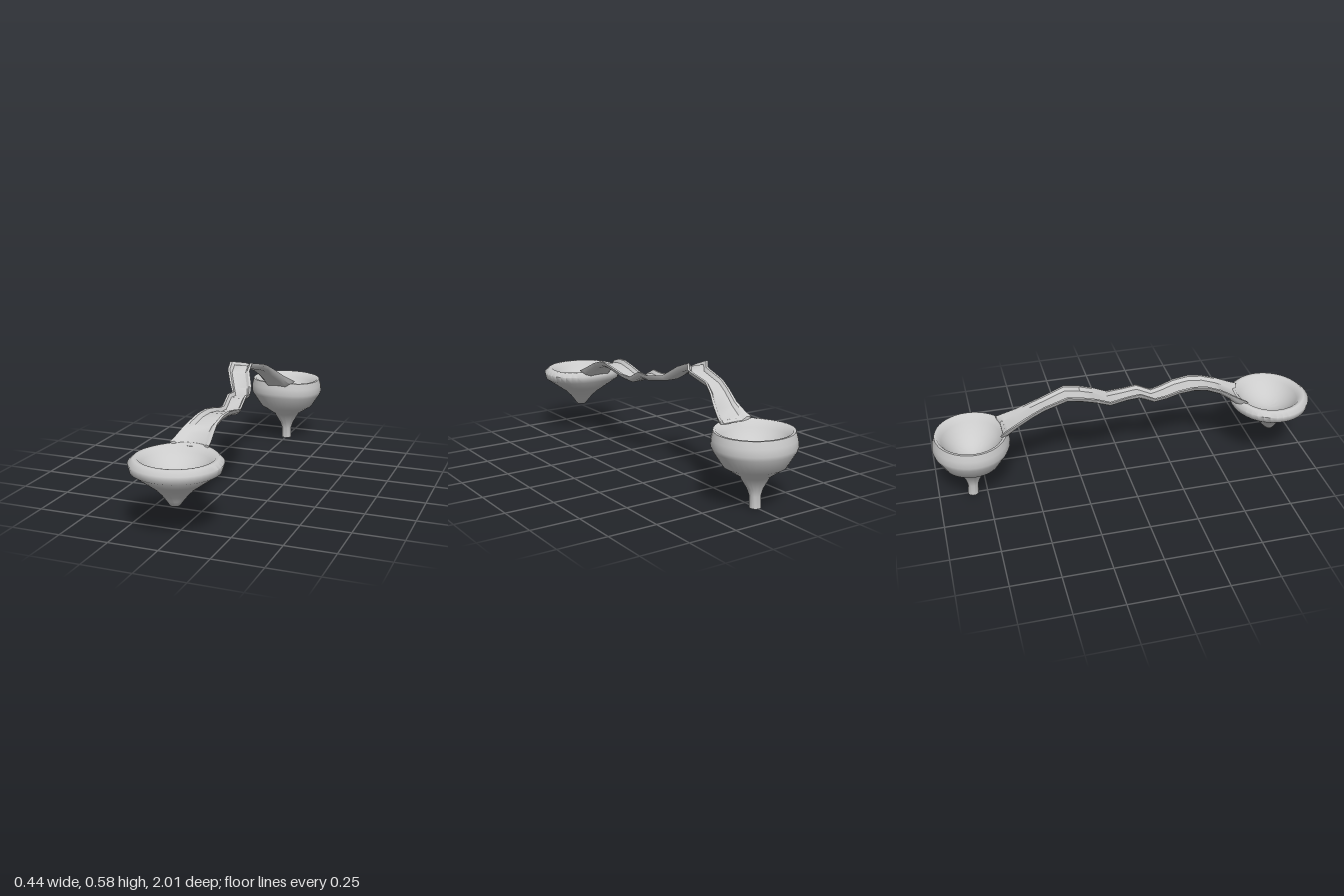
import * as THREE from 'three';
import { toCreasedNormals } from 'three/addons/utils/BufferGeometryUtils.js';

const material = new THREE.MeshStandardMaterial({ color: 0xcccccc, side: THREE.DoubleSide });
const TOP = 0.37;

// Funnel bowl turned from a profile; slightly oval, the stem leaning away from
// the channel and the rim rising a little where the channel joins
function makeBowl(name, profile, z, depthScale, lean) {
  const geo = new THREE.LatheGeometry(profile.map(([r, y]) => new THREE.Vector2(r, y)), 40);
  const pos = geo.attributes.position;
  const base = profile[0][1];
  const toChannel = -Math.sign(z);
  for (let i = 0; i < pos.count; i++) {
    const x = pos.getX(i), y = pos.getY(i), zi = pos.getZ(i);
    const r = Math.hypot(x, zi), t = (TOP - y) / (TOP - base);
    const facing = r > 0.17 ? Math.max(0, (toChannel * zi) / r) : 0;
    pos.setY(i, y + 0.012 * facing ** 4 * (1 - t));
    pos.setZ(i, zi * (1 - (1 - depthScale) * (1 - t)) + lean * t);
  }
  const mesh = new THREE.Mesh(toCreasedNormals(geo, 1.1), material);
  mesh.name = name;
  mesh.position.z = z;
  return mesh;
}

// Hollow of a bowl, from the rim down to its centre
function hollow(radius, depth) {
  const points = [];
  for (let i = 0; i <= 8; i++) {
    const k = 1 - i / 8;
    points.push([radius * k, TOP - depth * (1 - k * k)]);
  }
  return points;
}

// Winding open channel: a U-shaped section swept through stations
function makeChannel() {
  // z, left edge x, right edge x, lip height, total depth, bend of the section round a rim
  const stations = [
    [0.612, -0.10, 0.10, 0.388, 0.022, 0.028],
    [0.59, -0.09, 0.097, 0.402, 0.05, 0.015],
    [0.55, -0.077, 0.09, 0.43, 0.04, 0],
    [0.50, -0.06, 0.085, 0.455, 0.035, 0],
    [0.43, -0.045, 0.09, 0.476, 0.033, 0],
    [0.36, -0.035, 0.098, 0.48, 0.033, 0],
    [0.28, -0.03, 0.10, 0.467, 0.03, 0],
    [0.21, -0.03, 0.09, 0.448, 0.03, 0],
    [0.15, -0.03, 0.075, 0.441, 0.03, 0],
    [0.07, -0.033, 0.072, 0.483, 0.033, 0],
    [0.00, -0.035, 0.067, 0.477, 0.03, 0],
    [-0.10, -0.085, 0.035, 0.492, 0.03, 0],
    [-0.18, -0.13, -0.005, 0.55, 0.033, 0],
    [-0.25, -0.143, -0.015, 0.577, 0.033, 0],
    [-0.32, -0.095, 0.03, 0.56, 0.033, 0],
    [-0.44, -0.095, 0.012, 0.522, 0.033, 0],
    [-0.50, -0.09, 0.03, 0.488, 0.033, 0],
    [-0.57, -0.082, 0.06, 0.44, 0.035, 0],
    [-0.62, -0.085, 0.085, 0.405, 0.045, -0.015],
    [-0.64, -0.092, 0.095, 0.388, 0.022, -0.028],
  ];
  const positions = [], index = [];
  for (const [z, x0, x1, y, depth, bend] of stations) {
    const mid = (x0 + x1) / 2, half = (x1 - x0) / 2;
    const section = [
      [-0.6, -depth], [0.6, -depth], [0.9, -depth * 0.6], [1, 0],
      [0.8, 0], [0.6, -0.017], [-0.6, -0.017], [-0.8, 0], [-1, 0], [-0.9, -depth * 0.6],
    ];
    for (const [u, dy] of section) positions.push(mid + u * half, y + dy, z + bend * u * u);
  }
  const n = 10, last = (stations.length - 1) * n;
  for (let i = 0; i < stations.length - 1; i++) {
    for (let j = 0; j < n; j++) {
      const a = i * n + j, b = i * n + (j + 1) % n;
      index.push(a, a + n, b, b, a + n, b + n);
    }
  }
  // End caps: floor slab and the two walls
  const caps = [[0, 1, 5], [0, 5, 6], [1, 2, 5], [2, 4, 5], [2, 3, 4], [0, 6, 9], [9, 6, 7], [9, 7, 8]];
  for (const [a, b, c] of caps) index.push(a, b, c, last + a, last + c, last + b);

  const geo = new THREE.BufferGeometry();
  geo.setAttribute('position', new THREE.Float32BufferAttribute(positions, 3));
  geo.setIndex(index);
  const mesh = new THREE.Mesh(toCreasedNormals(geo, 0.75), material);
  mesh.name = 'channel';
  return mesh;
}

export function createModel() {
  const group = new THREE.Group();
  group.name = 'twinBowlChannel';

  // Lower, wider bowl with a short stem
  group.add(makeBowl('frontBowl', [
    [0, 0.147], [0.025, 0.147], [0.045, 0.175], [0.065, 0.2], [0.095, 0.229], [0.15, 0.268],
    [0.212, 0.311], [0.222, 0.348], [0.198, TOP], ...hollow(0.18, 0.1),
  ], 0.786, 0.96, 0.022));

  // Deeper bowl with a long stem
  group.add(makeBowl('backBowl', [
    [0, 0], [0.028, 0], [0.028, 0.06], [0.04, 0.095], [0.075, 0.155], [0.152, 0.206],
    [0.2, 0.28], [0.207, 0.3], [0.204, 0.335], [0.195, TOP], ...hollow(0.182, 0.14),
  ], -0.806, 0.945, -0.018));

  group.add(makeChannel());
  return group;
}
